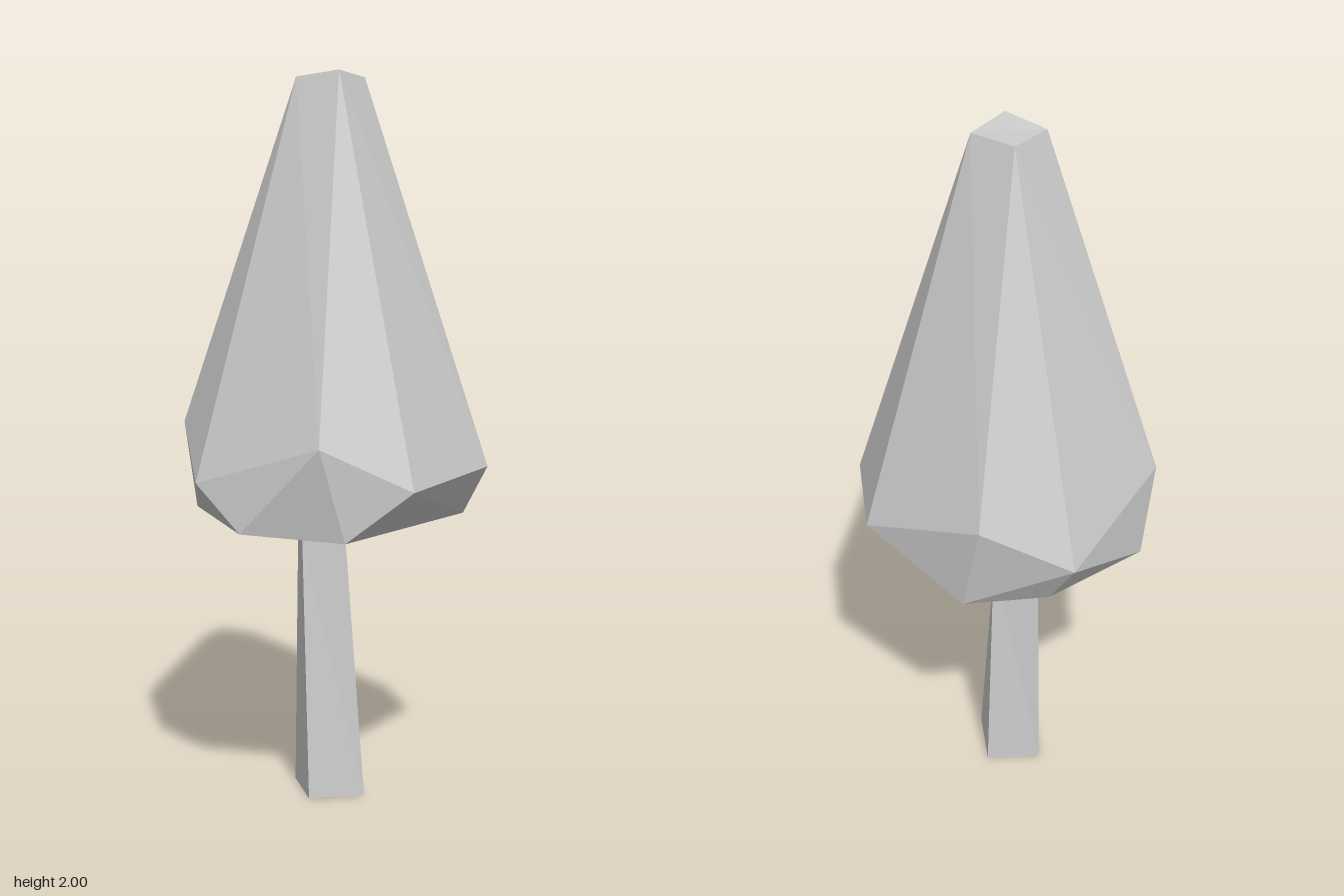
import * as THREE from 'three';

// Joins two closed rings (each ordered back, +x, front, -x) into triangles.
// 'u' advances along the upper ring, 'l' along the lower; a one-point ring makes a cap.
function stitch(out, upper, lower, steps) {
  let i = 0, j = 0;
  const u = k => upper[k % upper.length];
  const l = k => lower[k % lower.length];
  for (const s of steps) {
    if (s === 'u') out.push(...u(i), ...u(++i), ...l(j));
    else out.push(...u(i), ...l(j + 1), ...l(j++));
  }
}

function makeMesh(name, triangles) {
  const geometry = new THREE.BufferGeometry();
  geometry.setAttribute('position', new THREE.Float32BufferAttribute(triangles, 3));
  geometry.computeVertexNormals();
  const mesh = new THREE.Mesh(geometry, new THREE.MeshStandardMaterial({ color: 0xcccccc, flatShading: true }));
  mesh.name = name;
  return mesh;
}

// Tapered crown: square tip, eight-cornered shoulder, six-cornered rim
function makeFoliage() {
  const tip = [[-0.06, 1.985, -0.088], [0.07, 1.985, -0.045], [0.025, 2, 0.08], [-0.1, 1.985, 0.04]];
  const shoulder = [
    [-0.075, 1.05, -0.4], [0.29, 0.92, -0.29], [0.415, 0.935, -0.047], [0.27, 0.92, 0.305],
    [0.04, 1.04, 0.4], [-0.32, 0.92, 0.285], [-0.418, 1.05, 0.055], [-0.305, 0.92, -0.305],
  ];
  const rim = [
    [-0.015, 0.785, -0.365], [0.34, 0.79, -0.11], [0.1, 0.79, 0.36],
    [-0.185, 0.8, 0.345], [-0.4, 0.8, 0], [-0.22, 0.785, -0.26],
  ];
  const t = [];
  stitch(t, [[-0.016, 1.989, -0.003]], tip, 'llll');
  stitch(t, tip, shoulder, 'ullullullull');
  stitch(t, shoulder, rim, 'uluulululuullu');
  // hollow underside
  stitch(t, rim, [[-0.04, 0.9, 0]], 'uuuuuu');
  return makeMesh('foliage', t);
}

// Four-sided trunk, narrowing upward into the crown
function makeTrunk() {
  const rings = [
    [[0.012, 0, -0.11], [0.09, 0, 0.045], [-0.055, 0, 0.105], [-0.13, 0, -0.05]],
    [[0, 0.72, -0.085], [0.035, 0.72, 0.035], [-0.08, 0.72, 0.07], [-0.12, 0.72, -0.05]],
    [[-0.01, 0.95, -0.07], [0.02, 0.95, 0.03], [-0.075, 0.95, 0.06], [-0.1, 0.95, -0.04]],
  ];
  const t = [];
  stitch(t, rings[0], [[-0.02, 0, 0]], 'uuuu');
  for (let k = 0; k < 2; k++) stitch(t, rings[k + 1], rings[k], 'ulululul');
  stitch(t, [[-0.04, 0.95, 0]], rings[2], 'llll');
  return makeMesh('trunk', t);
}

export function createModel() {
  const group = new THREE.Group();
  group.name = 'tree';
  group.add(makeFoliage(), makeTrunk());
  return group;
}
